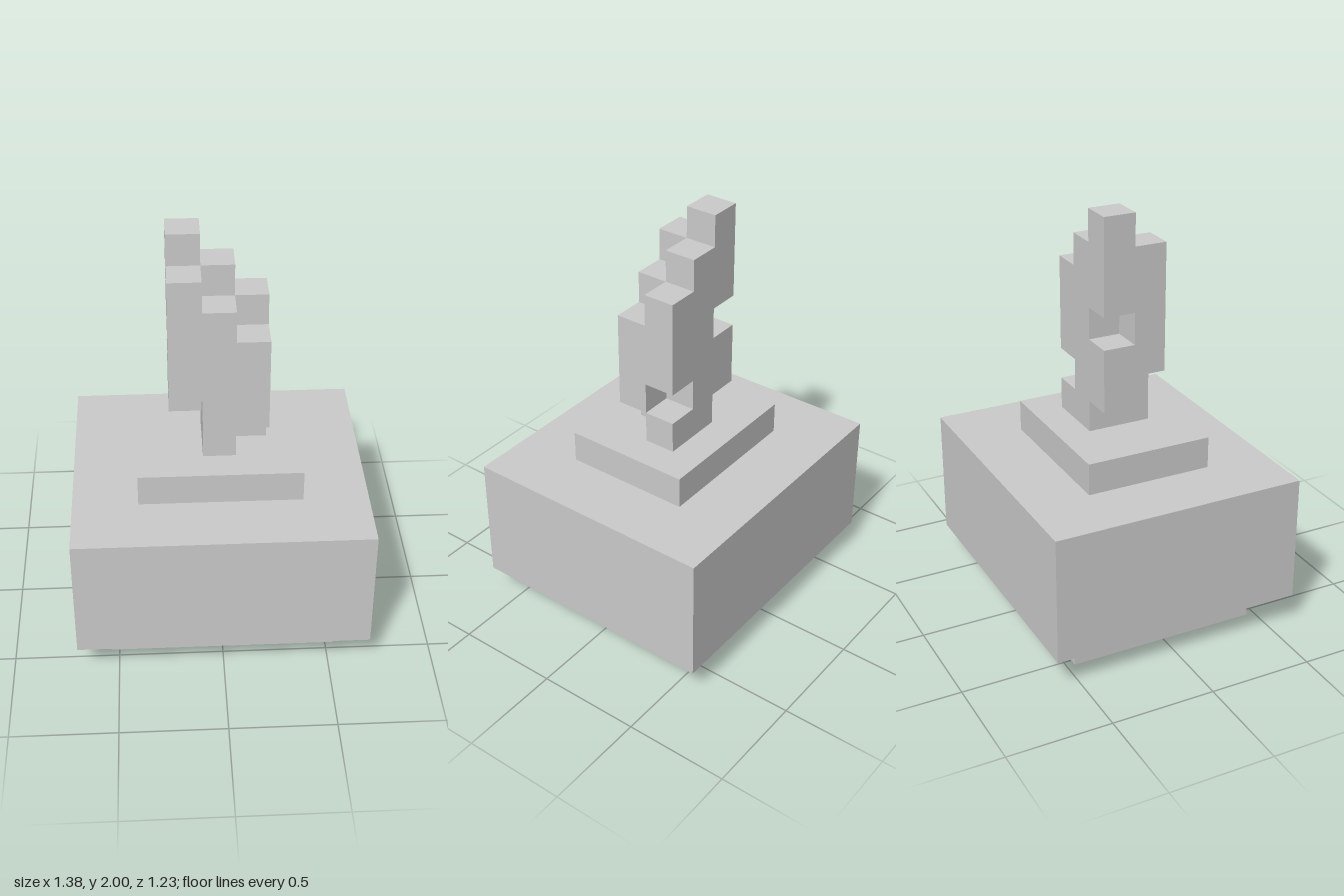
import * as THREE from 'three';
import { mergeGeometries } from 'three/addons/utils/BufferGeometryUtils.js';

const U = 2 / 13; // edge of one cube cell

// Boxes of cells as [x0, x1, y0, y1, z0, z1], in cell units
const parts = {
  foot: [[-3.5, 3.5, 0, 1, -3, 3]],
  body: [[-4.5, 4.5, 1, 5, -4, 4]],
  plinth: [[-2.5, 2.5, 5, 6, -2, 2]],
  steppedColumn: [
    [-1.5, -0.5, 8, 12, 0, 1],   // front row, descending steps
    [-0.5, 0.5, 6, 11, 0, 1],
    [0.5, 1.5, 7, 10, 0, 1],
    [-1.5, -0.5, 7, 9, -1, 0],   // back row, with notches on both sides
    [-1.5, -0.5, 10, 13, -1, 0],
    [-0.5, 0.5, 6, 12, -1, 0],
    [0.5, 1.5, 6, 7, -1, 0],
    [0.5, 1.5, 8, 11, -1, 0],
  ],
};

// Cell centres inside a box
function cellsOf([x0, x1, y0, y1, z0, z1]) {
  const cells = [];
  for (let x = x0; x < x1; x++)
    for (let y = y0; y < y1; y++)
      for (let z = z0; z < z1; z++) cells.push([x + 0.5, y + 0.5, z + 0.5]);
  return cells;
}

// One outward square for each of the six directions
const face = () => new THREE.PlaneGeometry(1, 1).translate(0, 0, 0.5);
const sides = [
  [[0, 0, 1], face()],
  [[0, 0, -1], face().rotateY(Math.PI)],
  [[1, 0, 0], face().rotateY(Math.PI / 2)],
  [[-1, 0, 0], face().rotateY(-Math.PI / 2)],
  [[0, 1, 0], face().rotateX(-Math.PI / 2)],
  [[0, -1, 0], face().rotateX(Math.PI / 2)],
];

export function createModel() {
  const group = new THREE.Group();
  group.name = 'steppedMonument';
  const material = new THREE.MeshStandardMaterial({ color: 0xcccccc, flatShading: true });
  const filled = new Set(Object.values(parts).flat().flatMap(cellsOf).map(String));

  // Each part keeps only the cell faces that touch open air
  for (const [name, boxes] of Object.entries(parts)) {
    const faces = [];
    for (const cell of boxes.flatMap(cellsOf))
      for (const [dir, square] of sides)
        if (!filled.has(String(cell.map((c, i) => c + dir[i]))))
          faces.push(square.clone().translate(...cell));
    const mesh = new THREE.Mesh(mergeGeometries(faces).scale(U, U, U), material);
    mesh.name = name;
    group.add(mesh);
  }
  return group;
}
